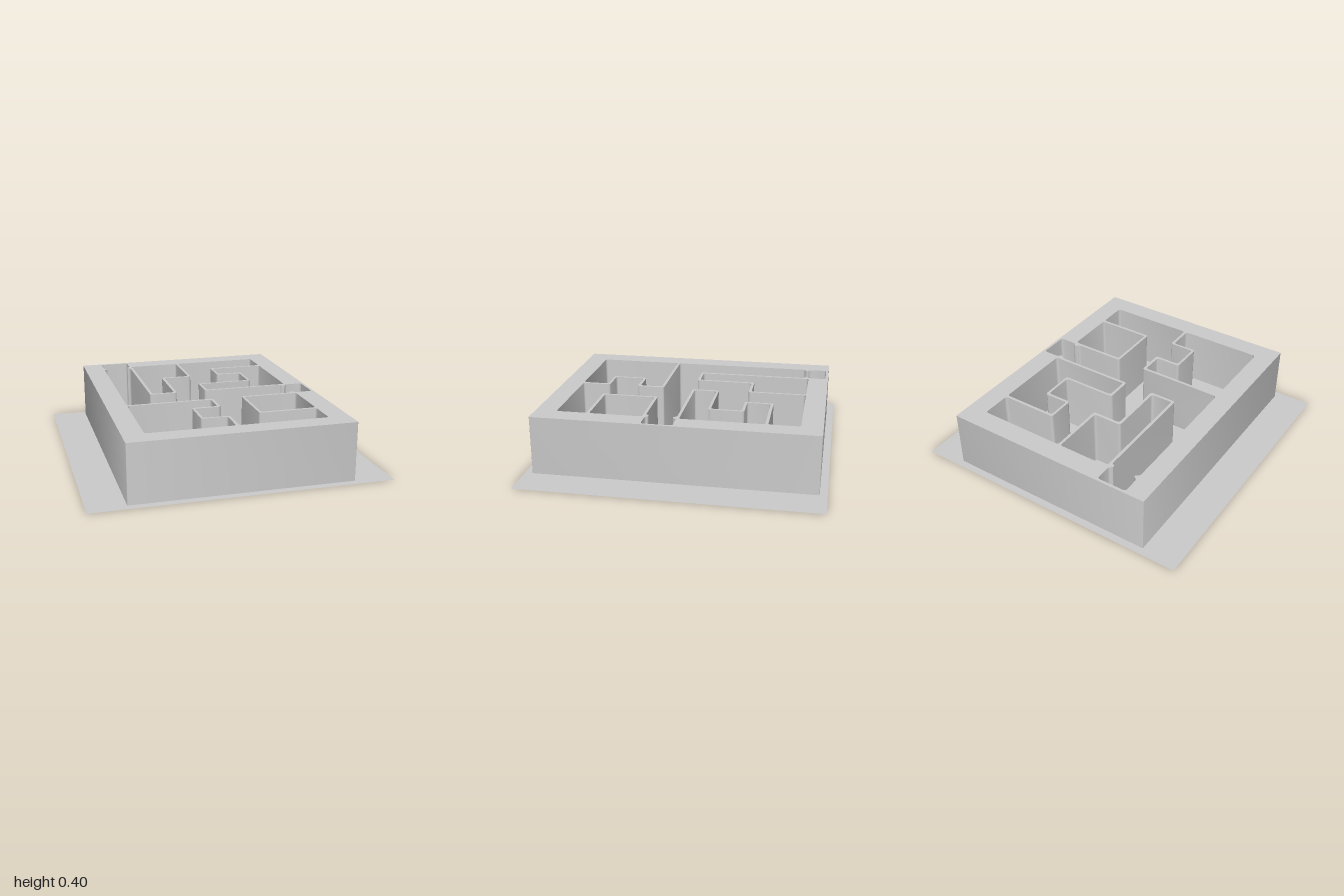
import * as THREE from 'three';
import { toCreasedNormals } from 'three/addons/utils/BufferGeometryUtils.js';

const HEIGHT = 0.4;

// Trace a closed plan outline of [x, z] corners, rounding each corner by up to r.
function roundedOutline(path, points, r) {
  const pts = points.map(([x, z]) => new THREE.Vector2(x, z));
  const n = pts.length;
  pts.forEach((p, i) => {
    const toward = (q) => {
      const d = q.clone().sub(p);
      return p.clone().addScaledVector(d, Math.min(r / d.length(), 0.4));
    };
    const a = toward(pts[(i + n - 1) % n]);
    const b = toward(pts[(i + 1) % n]);
    if (i === 0) path.moveTo(a.x, a.y);
    else path.lineTo(a.x, a.y);
    path.quadraticCurveTo(p.x, p.y, b.x, b.y);
  });
  path.closePath();
  return path;
}

// Winding passage, with pinched doorways into the start and end niches
const passage = [
  [-0.605, 0.205], [0, 0.205], [0, 0.4], [-0.18, 0.4], [-0.18, 0.605], [0, 0.605],
  [0, 0.805], [0.605, 0.805], [0.605, 0.6], [0.205, 0.6], [0.205, 0.205],
  [0.565, 0.205], [0.575, 0.183], [0.6, 0.183], [0.61, 0.205],
  [0.73, 0.205], [0.73, -0.003],
  [0.61, -0.003], [0.6, 0.02], [0.58, 0.02], [0.565, -0.003],
  [0, -0.003], [0, -0.195], [0.38, -0.195], [0.38, -0.403], [0.205, -0.403],
  [0.205, -0.6], [0.605, -0.6], [0.605, -0.807], [-0.003, -0.807],
  [-0.003, -0.403], [-0.205, -0.403], [-0.205, -0.003], [-0.4, -0.003],
  [-0.4, -0.765], [-0.422, -0.78], [-0.422, -0.795], [-0.4, -0.81],
  [-0.4, -0.93], [-0.605, -0.93],
  [-0.605, -0.81], [-0.58, -0.795], [-0.58, -0.78], [-0.605, -0.765],
];

// Closed chambers, each kept apart from the passage by a thin wall
const chambers = [
  [[-0.38, -0.807], [-0.022, -0.807], [-0.022, -0.423], [-0.225, -0.423],
    [-0.225, -0.022], [-0.38, -0.022]],
  [[0.222, -0.58], [0.605, -0.58], [0.605, -0.022], [0.02, -0.022],
    [0.02, -0.178], [0.397, -0.178], [0.397, -0.422], [0.222, -0.422]],
  [[-0.605, 0.225], [-0.02, 0.225], [-0.02, 0.38], [-0.197, 0.38],
    [-0.197, 0.622], [-0.02, 0.622], [-0.02, 0.805], [-0.605, 0.805]],
  [[0.223, 0.225], [0.605, 0.225], [0.605, 0.58], [0.223, 0.58]],
];

export function createModel() {
  const group = new THREE.Group();
  group.name = 'mazeBlock';

  // Block with the passage and chambers cut through to the ground sheet
  const plan = roundedOutline(new THREE.Shape(),
    [[-0.747, -0.949], [0.747, -0.949], [0.747, 0.947], [-0.747, 0.947]], 0.006);
  plan.holes = [passage, ...chambers].map((p) => roundedOutline(new THREE.Path(), p, 0.02));
  const block = new THREE.ExtrudeGeometry(plan,
    { depth: HEIGHT, bevelEnabled: false, curveSegments: 4 });
  block.rotateX(Math.PI / 2).translate(0, HEIGHT, 0);
  const walls = new THREE.Mesh(toCreasedNormals(block, 0.7),
    new THREE.MeshStandardMaterial({ color: 0xcccccc }));
  walls.name = 'mazeWalls';
  group.add(walls);

  // Thin square sheet under the block, forming the maze floor
  const sheet = new THREE.Mesh(new THREE.PlaneGeometry(2, 2).rotateX(-Math.PI / 2),
    new THREE.MeshStandardMaterial({ color: 0xcccccc, side: THREE.DoubleSide }));
  sheet.name = 'baseSheet';
  group.add(sheet);

  return group;
}
